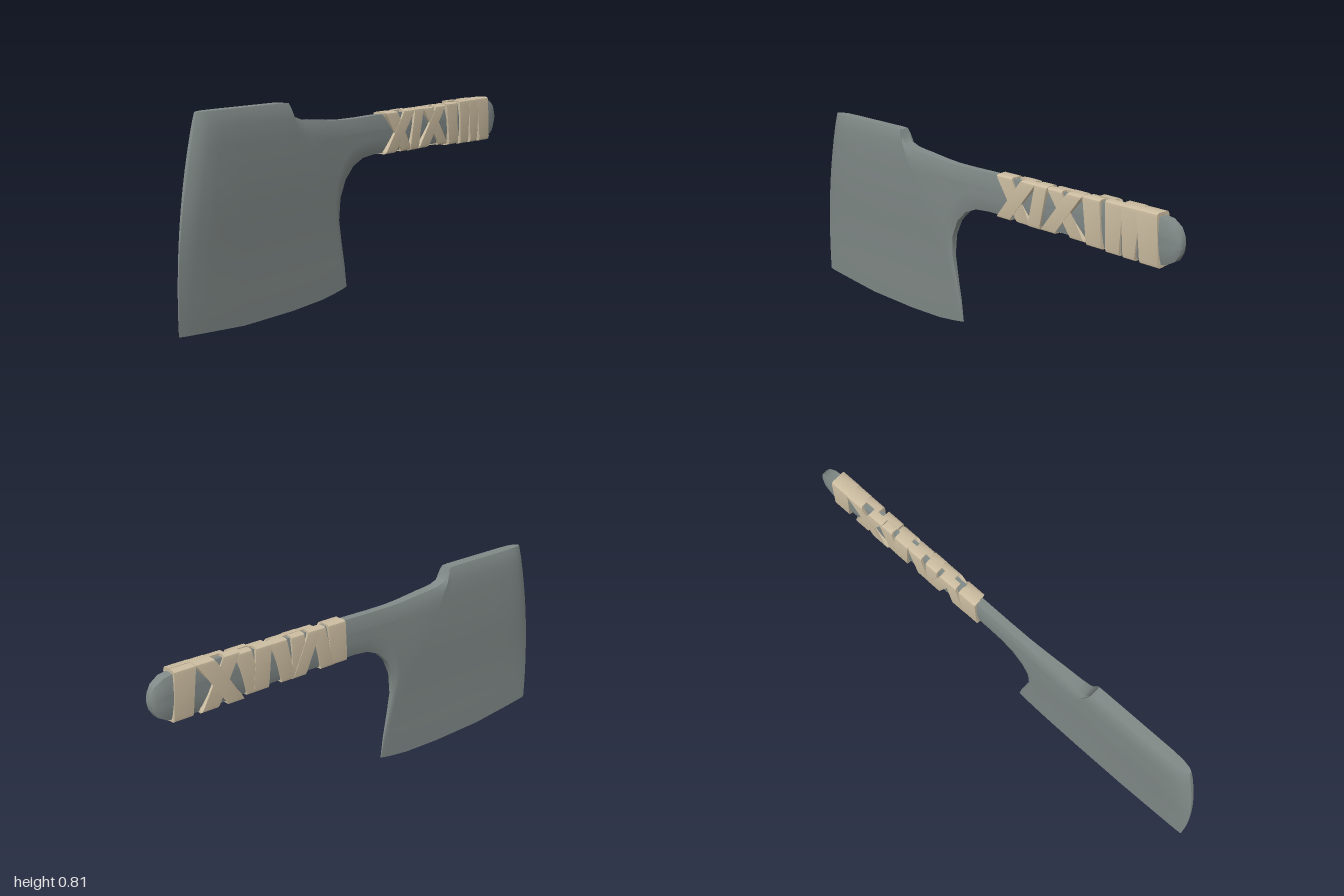
import * as THREE from 'three';
import { toCreasedNormals } from 'three/addons/utils/BufferGeometryUtils.js';

const steel = new THREE.MeshStandardMaterial({ color: 0x818a88 });
const cloth = new THREE.MeshStandardMaterial({ color: 0xcbbca0, side: THREE.DoubleSide });

// Skin a list of equal-sized rings and close both ends
function loft(rings, crease) {
  const n = rings[0].length, last = (rings.length - 1) * n, index = [];
  const quad = (a, b, c, d) => index.push(a, b, c, a, c, d);
  for (let i = 0; i < rings.length - 1; i++)
    for (let j = 0; j < n; j++) {
      const k = (j + 1) % n, a = i * n;
      quad(a + j, a + k, a + n + k, a + n + j);
    }
  for (let j = 0; j < n / 2 - 1; j++) {
    const q = n - 1 - j;
    quad(q, q - 1, j + 1, j);
    quad(last + j, last + j + 1, last + q - 1, last + q);
  }
  const g = new THREE.BufferGeometry();
  g.setAttribute('position', new THREE.Float32BufferAttribute(rings.flat(2), 3));
  g.setIndex(index);
  return toCreasedNormals(g, crease);
}

// Piecewise linear lookup in [[x, value], ...]
function lookup(table, x) {
  for (let i = 1; i < table.length; i++) {
    const [x0, v0] = table[i - 1], [x1, v1] = table[i];
    if (x <= x1) return v0 + (v1 - v0) * Math.max(0, (x - x0) / (x1 - x0));
  }
  return table[table.length - 1][1];
}

// Half thickness by height: a long wedge ground down to the cutting edge
const wedge = [[0, 0.001], [0.1, 0.005], [0.2, 0.009], [0.3, 0.014], [0.4, 0.021],
  [0.5, 0.028], [0.6, 0.032], [0.7, 0.034], [0.85, 0.035]];
// Rounding by distance from the outline
const rounding = [[0, 0.65], [0.02, 0.83], [0.06, 1]];

// Sections from blade nose to handle end: top z, top y, bottom z, bottom y, thickness
const sections = [
  [0.90, 0.81, 1.00, 0.04, 0.2], [0.885, 0.811, 0.98, 0.037, 0.6],
  [0.85, 0.812, 0.94, 0.033, 0.9], [0.80, 0.812, 0.86, 0.025, 1],
  [0.70, 0.812, 0.68, 0.008, 1], [0.58, 0.812, 0.42, 0.005, 1],
  [0.48, 0.812, 0.24, 0.012, 1], [0.45, 0.81, 0.15, 0.024, 1],
  [0.438, 0.778, 0.115, 0.03, 1], [0.42, 0.757, 0.09, 0.036, 1],
  [0.38, 0.743, 0.105, 0.13, 1], [0.34, 0.738, 0.125, 0.22, 0.98],
  [0.30, 0.735, 0.145, 0.32, 0.95], [0.25, 0.73, 0.14, 0.41, 0.9],
  [0.19, 0.724, 0.11, 0.48, 0.85], [0.12, 0.72, 0.06, 0.53, 0.78],
  [0.02, 0.72, 0.0, 0.555, 0.75], [-0.08, 0.722, -0.07, 0.562, 0.75],
  [-0.3, 0.723, -0.3, 0.564, 0.76], [-0.55, 0.723, -0.55, 0.564, 0.78],
  [-0.72, 0.732, -0.72, 0.553, 0.82], [-0.88, 0.732, -0.88, 0.55, 0.92],
  [-0.94, 0.722, -0.94, 0.56, 0.95], [-0.975, 0.70, -0.975, 0.58, 0.8],
  [-0.993, 0.675, -0.993, 0.61, 0.55], [-1.0, 0.655, -1.0, 0.63, 0.25],
];

function makeCleaver() {
  const rings = sections.map(([tz, ty, bz, by, k], i) => {
    const length = Math.hypot(tz - bz, ty - by);
    const s = Math.min(1, length / 0.16);
    const r = 0.06 * s, dist = [0, 0.02 * s];
    for (let j = 0; j <= 10; j++) dist.push(r + (length - 2 * r) * j / 10);
    dist.push(length - 0.02 * s, length);
    const bow = 0.03 * Math.max(0, 1 - i / 5);
    const side = dist.map(d => {
      const t = d / length, y = ty + (by - ty) * t;
      const edge = lookup(rounding, Math.min(d, length - d) / s);
      return [k * edge * lookup(wedge, y), y, tz + (bz - tz) * t + bow * 4 * t * (1 - t)];
    });
    return [...side, ...side.map(([x, y, z]) => [-x, y, z]).reverse()];
  });
  const mesh = new THREE.Mesh(loft(rings, 0.7), steel);
  mesh.name = 'bladeAndHandle';
  return mesh;
}

// Cloth strips on each face: top z, bottom z, top width, bottom width
const rightStrips = [
  [-0.17, -0.28, 0.08, 0.07], [-0.30, -0.165, 0.075, 0.07], [-0.365, -0.33, 0.06, 0.06],
  [-0.43, -0.55, 0.07, 0.065], [-0.53, -0.40, 0.07, 0.07], [-0.61, -0.63, 0.08, 0.07],
  [-0.715, -0.715, 0.08, 0.06], [-0.79, -0.79, 0.085, 0.05], [-0.86, -0.88, 0.09, 0.08],
];
const leftStrips = [
  [-0.17, -0.16, 0.085, 0.08], [-0.26, -0.22, 0.06, 0.06], [-0.28, -0.36, 0.06, 0.06],
  [-0.36, -0.36, 0.06, 0.06], [-0.45, -0.41, 0.07, 0.06], [-0.52, -0.54, 0.07, 0.07],
  [-0.61, -0.57, 0.07, 0.06], [-0.66, -0.77, 0.07, 0.07], [-0.78, -0.65, 0.08, 0.07],
  [-0.86, -0.88, 0.09, 0.08],
];

// A strip folded over the top, down one face and under the handle
function makeStrip([za, zb, wa, wb], i, sign) {
  const lift = 0.0008 * (i % 3);
  const mid = (za + zb) / 2;
  const swell = THREE.MathUtils.clamp((-0.55 - mid) / 0.17, 0, 1);
  const top = 0.73 + 0.011 * swell + lift, bottom = 0.557 - 0.011 * swell - lift;
  const x = 0.0325 + 0.002 * swell + lift;
  const path = [[0, top, 0], [x - 0.01, top, 0], [x - 0.002, top - 0.005, 0.03],
    [x, top - 0.016, 0.09], [x, bottom + 0.016, 0.91], [x - 0.002, bottom + 0.005, 0.97],
    [x - 0.01, bottom, 1], [0, bottom, 1]];
  const cy = (top + bottom) / 2;
  const rings = path.map(([px, py, t]) => {
    const z = za + (zb - za) * t, h = (wa + (wb - wa) * t) / 2;
    const ix = px * 0.6, iy = cy + (py - cy) * 0.86;
    const ring = [[px, py, z - h], [px, py, z + h], [ix, iy, z + h], [ix, iy, z - h]]
      .map(([a, b, c]) => [a * sign, b, c]);
    return sign > 0 ? ring : ring.reverse();
  });
  const mesh = new THREE.Mesh(loft(rings, 0.7), cloth);
  mesh.name = 'gripStrip';
  return mesh;
}

export function createModel() {
  const model = new THREE.Group();
  model.name = 'cleaver';
  const grip = new THREE.Group();
  grip.name = 'gripWrap';
  // The right face is on -x? The model's own left is +x, so right strips go on +x's mirror
  leftStrips.forEach((s, i) => grip.add(makeStrip(s, i, -1)));
  rightStrips.forEach((s, i) => grip.add(makeStrip(s, i, 1)));
  model.add(makeCleaver(), grip);
  return model;
}
